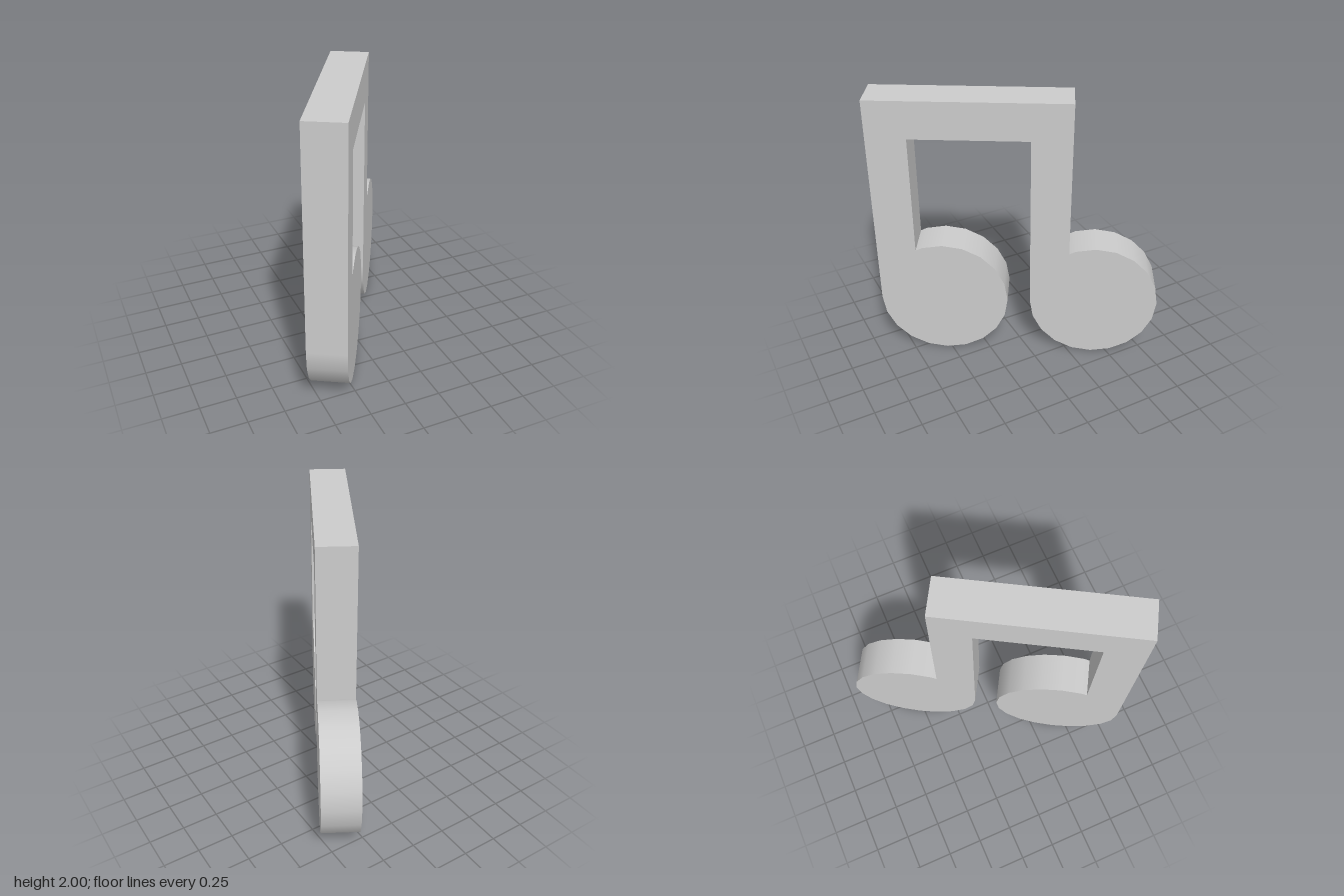
import * as THREE from 'three';

const DEPTH = 0.264;          // thickness of the slab
const R = 0.4575;             // radius of a note head
const SIDES = 20;
const STEM = 0.272;           // stem width
const LEFTS = [-0.995, 0.081]; // outer edge of each stem
const TOP = 2, BEAM_BOTTOM = 1.735;

// Points of a stem's foot, following the faceted rim of its head from the outer edge inwards
function footPoints(left) {
  const cx = left + R, pts = [];
  const rim = (i) => new THREE.Vector2(cx - R * Math.cos(i * 2 * Math.PI / SIDES), R + R * Math.sin(i * 2 * Math.PI / SIDES));
  let i = 0;
  for (; rim(i).x < left + STEM; i++) pts.push(rim(i));
  const a = rim(i - 1), b = rim(i);
  pts.push(a.clone().lerp(b, (left + STEM - a.x) / (b.x - a.x)));
  return pts;
}

export function createModel() {
  const model = new THREE.Group();
  model.name = 'beamedNotes';
  const material = new THREE.MeshStandardMaterial({ color: 0xcccccc });

  // Two stems joined by the beam
  const [a, b] = LEFTS;
  const outline = new THREE.Shape([
    ...footPoints(a),
    new THREE.Vector2(a + STEM, BEAM_BOTTOM),
    new THREE.Vector2(b, BEAM_BOTTOM),
    ...footPoints(b),
    new THREE.Vector2(b + STEM, TOP),
    new THREE.Vector2(a, TOP),
  ]);
  const frameGeometry = new THREE.ExtrudeGeometry(outline, { depth: DEPTH, bevelEnabled: false });
  frameGeometry.translate(0, 0, -DEPTH / 2);
  const frame = new THREE.Mesh(frameGeometry, material);
  frame.name = 'stemsAndBeam';
  model.add(frame);

  // Round note heads
  const headGeometry = new THREE.CylinderGeometry(R, R, DEPTH, SIDES).rotateX(Math.PI / 2);
  LEFTS.forEach((left, i) => {
    const head = new THREE.Mesh(headGeometry, material);
    head.name = i === 0 ? 'frontNoteHead' : 'backNoteHead';
    head.position.set(left + R, R, 0);
    model.add(head);
  });

  // The slab stands turned about the vertical
  model.rotation.y = Math.PI / 3;
  return model;
}
